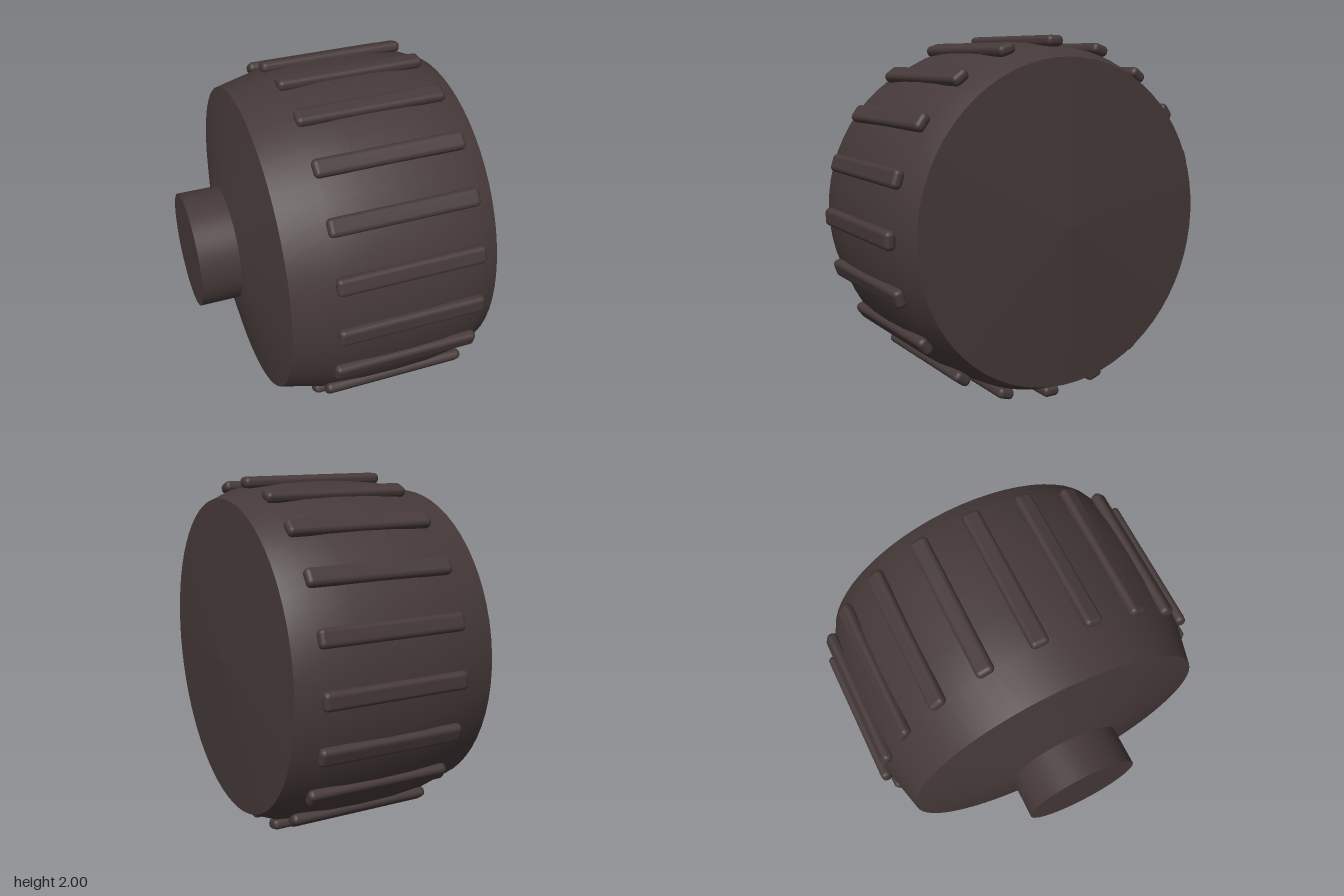
import * as THREE from 'three';
import { RoundedBoxGeometry } from 'three/addons/geometries/RoundedBoxGeometry.js';

const SEGMENTS = 64;
const RIBS = 20;

export function createModel() {
  const rubber = new THREE.MeshStandardMaterial({ color: 0x463939 });
  rubber.name = 'darkRubber';

  const knob = new THREE.Group();
  knob.name = 'knob';
  knob.position.y = 1;

  // Surface turned around the x axis from [x, radius] points
  const turned = (name, profile) => {
    const points = profile.map(([x, r]) => new THREE.Vector2(r, x));
    const geometry = new THREE.LatheGeometry(points, SEGMENTS);
    geometry.rotateZ(-Math.PI / 2);
    const mesh = new THREE.Mesh(geometry, rubber);
    mesh.name = name;
    knob.add(mesh);
  };

  // Shaft, split at its sharp edge
  turned('shaftEnd', [[-0.78, 0], [-0.78, 0.33]]);
  turned('shaft', [[-0.78, 0.33], [-0.555, 0.33]]);

  // Body: sloped back, slightly barrelled grip and shallow conical face
  turned('bodyBack', [[-0.555, 0.33], [-0.445, 0.888]]);
  turned('bodyGrip', [
    [-0.445, 0.888], [-0.2, 0.948], [0, 0.966], [0.2, 0.97],
    [0.4, 0.964], [0.6, 0.938], [0.72, 0.888],
  ]);
  turned('bodyFace', [[0.72, 0.888], [0.773, 0]]);

  // Rounded grip ribs, evenly spaced around the body
  const ribGeometry = new RoundedBoxGeometry(0.83, 0.06, 0.1, 3, 0.026);
  ribGeometry.translate(0.193, 0.97, 0);
  for (let i = 0; i < RIBS; i++) {
    const rib = new THREE.Mesh(ribGeometry, rubber);
    rib.name = `gripRib${i + 1}`;
    rib.rotation.x = (i / RIBS) * Math.PI * 2;
    knob.add(rib);
  }

  const model = new THREE.Group();
  model.name = 'gripKnob';
  model.add(knob);
  return model;
}
